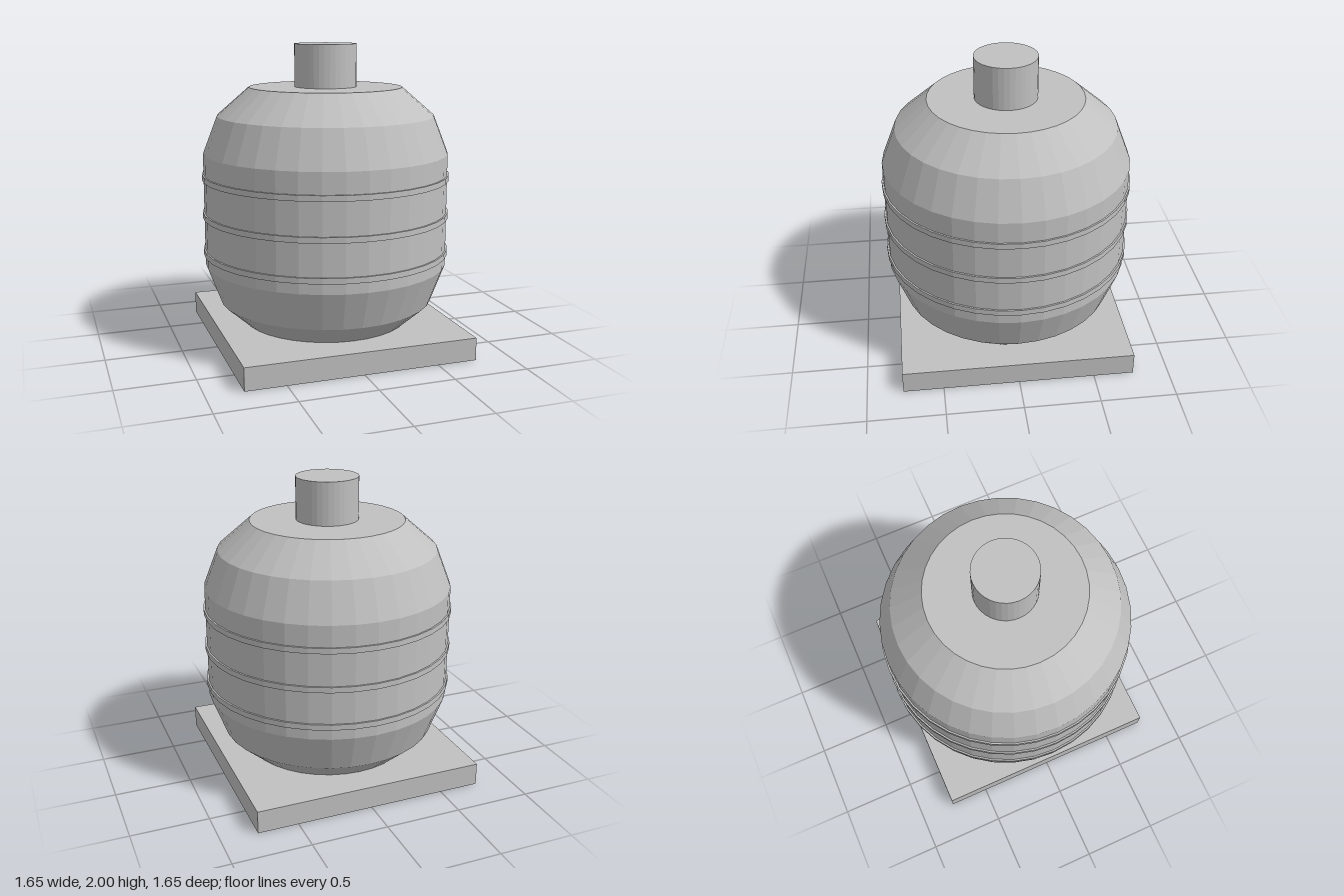
import * as THREE from 'three';

const SIDES = 36;

// Gives every face its own flat normal
function facet(geometry) {
  const flat = geometry.toNonIndexed();
  flat.computeVertexNormals();
  return flat;
}

export function createModel() {
  const group = new THREE.Group();
  const grey = new THREE.MeshStandardMaterial({ color: 0xc0c0c0 });
  grey.name = 'plain grey';

  function add(name, geometry, y) {
    const mesh = new THREE.Mesh(facet(geometry), grey);
    mesh.name = name;
    mesh.position.y = y;
    group.add(mesh);
  }

  // Square base slab
  add('base', new THREE.BoxGeometry(1.53, 0.15, 1.53), 0.075);

  // Barrel body, its lower end sunk into the slab
  const profile = [
    [0, 0.1], [0.505, 0.1], [0.717, 0.29], [0.812, 0.545],
    [0.812, 1.29], [0.717, 1.535], [0.505, 1.72], [0, 1.72],
  ].map(([r, y]) => new THREE.Vector2(r, y));
  add('body', new THREE.LatheGeometry(profile, SIDES), 0);

  // Three thin hoops around the body
  for (const y of [0.632, 0.882, 1.134]) {
    add('hoop', new THREE.CylinderGeometry(0.823, 0.823, 0.037, SIDES), y);
  }

  // Neck on top
  add('neck', new THREE.CylinderGeometry(0.204, 0.204, 0.3, SIDES), 1.85);

  return group;
}
